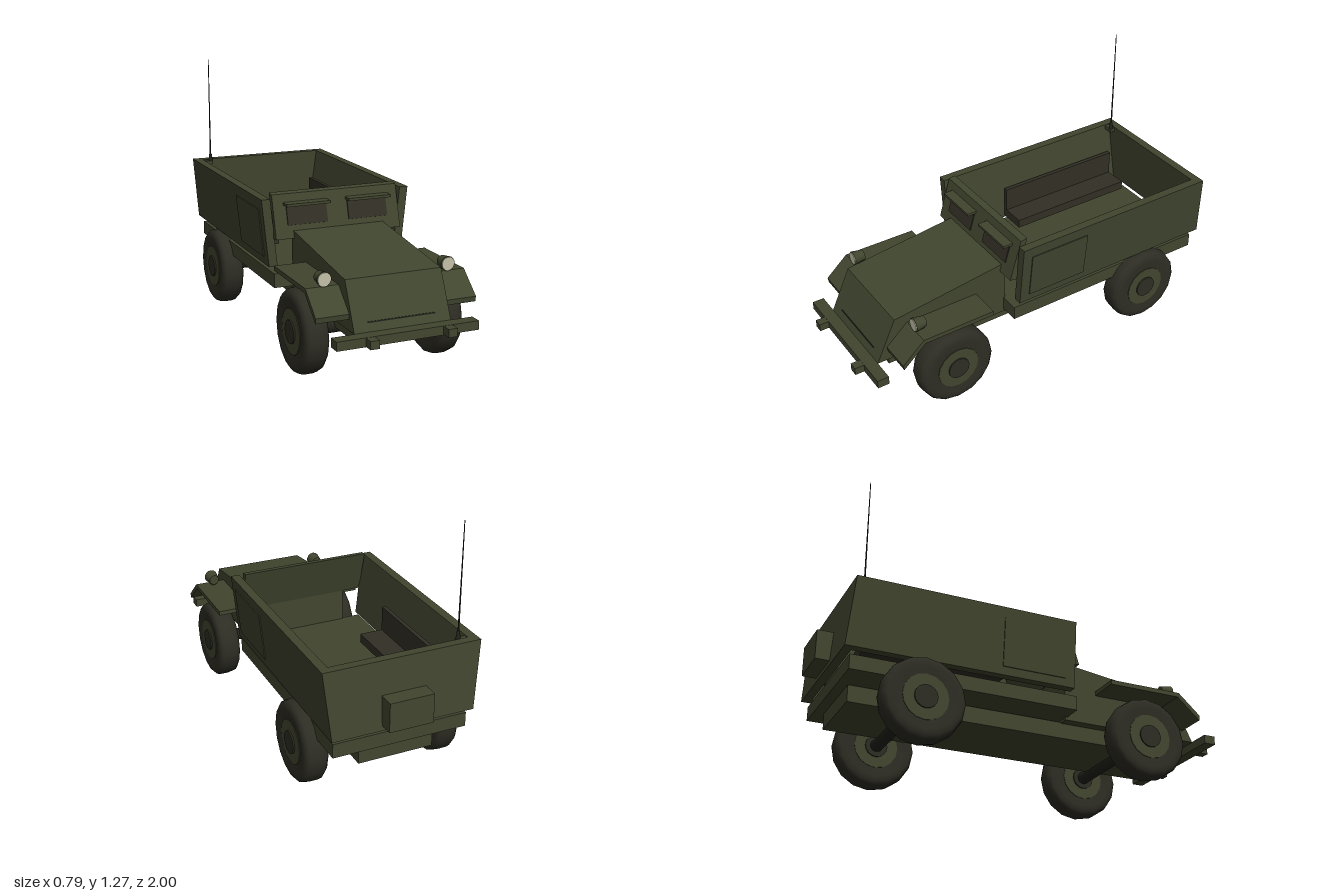
import * as THREE from 'three';

const mat = (name, color) => {
  const m = new THREE.MeshStandardMaterial({ color });
  m.name = name;
  return m;
};

export function createModel() {
  const green = mat('olive green', 0x41462f);
  const rubber = mat('tyre rubber', 0x2e2d24);
  const brown = mat('dark brown', 0x322f25);
  const dark = mat('dark metal', 0x22231b);
  const lens = mat('lamp glass', 0xc4c1a8);
  const model = new THREE.Group();
  model.name = 'armouredCar';

  const add = (name, geometry, material, parent = model) => {
    const mesh = new THREE.Mesh(geometry, material);
    mesh.name = name;
    parent.add(mesh);
    return mesh;
  };
  // Box given by its lower and upper limits on each axis
  const box = (name, material, [x0, x1], [y0, y1], [z0, z1], parent) =>
    add(name, new THREE.BoxGeometry(x1 - x0, y1 - y0, z1 - z0)
      .translate((x0 + x1) / 2, (y0 + y1) / 2, (z0 + z1) / 2), material, parent);
  // Mirrored x range for the two sides
  const span = (s, a, b) => (s > 0 ? [a, b] : [-b, -a]);
  const shape = (pts) => new THREE.Shape(pts.map(([a, b]) => new THREE.Vector2(a, b)));
  // Side profile of (z, y) points extruded across x
  const across = (name, material, pts, [x0, x1]) =>
    add(name, new THREE.ExtrudeGeometry(shape(pts), { depth: x1 - x0, bevelEnabled: false })
      .rotateY(-Math.PI / 2).translate(x1, 0, 0), material);
  // Front profile of (x, y) points extruded along z
  const along = (name, material, pts, [z0, z1]) =>
    add(name, new THREE.ExtrudeGeometry(shape(pts), { depth: z1 - z0, bevelEnabled: false })
      .translate(0, 0, z0), material);

  // Chassis, floor and bumper
  box('chassis', green, [-0.185, 0.185], [0.2, 0.28], [-0.863, 0.815]);
  box('floor', green, [-0.33, 0.33], [0.29, 0.36], [-0.905, 0.2]);
  box('bumper', green, [-0.342, 0.342], [0.235, 0.277], [0.895, 0.953]);

  // Engine hood with sloping top and nose
  across('hood', green,
    [[0.19, 0.275], [0.895, 0.275], [0.795, 0.49], [0.19, 0.567]], [-0.234, 0.234]);
  across('noseSlit', dark,
    [[0.876, 0.312], [0.8805, 0.312], [0.8785, 0.317], [0.874, 0.317]], [-0.165, 0.165]);

  // Windscreen plate leaning backwards
  across('windscreenPlate', green,
    [[0.185, 0.525], [0.22, 0.53], [0.16, 0.735], [0.125, 0.74]], [-0.325, 0.325]);

  // Rear wall: narrower and further back at the bottom
  const rear = new THREE.BoxGeometry(2, 0.33, 0.042).translate(0, 0.555, 0);
  const p = rear.attributes.position;
  for (let i = 0; i < p.count; i++) {
    const top = p.getY(i) > 0.5;
    p.setX(i, p.getX(i) * (top ? 0.383 : 0.348));
    p.setZ(i, p.getZ(i) - (top ? 0.888 : 0.914));
  }
  rear.computeVertexNormals();
  add('rearWall', rear, green);
  box('rearStowageBox', green, [-0.108, 0.108], [0.415, 0.558], [-1, -0.9]);

  for (const s of [1, -1]) {
    const side = s > 0 ? 'left' : 'right';
    const mir = (pts) => pts.map(([x, y]) => [s * x, y]);

    // Outward leaning side wall and its door
    along(side + 'Wall', green,
      mir([[0.305, 0.39], [0.348, 0.39], [0.383, 0.72], [0.34, 0.72]]), [-0.9, 0.18]);
    along(side + 'Door', green,
      mir([[0.35, 0.43], [0.357, 0.43], [0.382, 0.665], [0.375, 0.665]]), [-0.19, 0.13]);

    // Bench with backrest
    box(side + 'BenchSeat', brown, span(s, 0.166, 0.284), [0.4, 0.445], [-0.84, -0.16]);
    box(side + 'BenchBack', brown, span(s, 0.284, 0.305), [0.4, 0.57], [-0.84, -0.16]);

    // Front vision window and visor
    across(side + 'Window', brown,
      [[0.202, 0.59], [0.208, 0.592], [0.18, 0.688], [0.174, 0.686]], span(s, 0.055, 0.26));
    box(side + 'Visor', green, span(s, 0.048, 0.272), [0.684, 0.697], [0.155, 0.222]);

    // Bent front fender
    across(side + 'Fender', green,
      [[0.355, 0.428], [0.722, 0.428], [0.838, 0.325], [0.842, 0.35], [0.73, 0.45], [0.355, 0.45]],
      span(s, 0.225, 0.39));

    // Tow hook block
    box(side + 'TowHook', green, span(s, 0.165, 0.208), [0.238, 0.276], [0.95, 1]);

    // Headlamp
    const lamp = new THREE.Group();
    lamp.name = side + 'Headlamp';
    lamp.position.set(s * 0.304, 0.482, 0);
    add('lampHousing', new THREE.CylinderGeometry(0.035, 0.026, 0.056, 14)
      .rotateX(Math.PI / 2).translate(0, 0, 0.705), green, lamp);
    add('lampLens', new THREE.CylinderGeometry(0.031, 0.031, 0.006, 14)
      .rotateX(Math.PI / 2).translate(0, 0, 0.734), lens, lamp);
    box('lampStem', green, [-0.012, 0.012], [-0.04, -0.015], [0.685, 0.715], lamp);
    model.add(lamp);
  }

  // Wheels and axles
  const tyre = [[0.1, -0.052], [0.15, -0.058], [0.178, -0.055], [0.192, -0.042], [0.197, -0.02],
    [0.197, 0.02], [0.192, 0.042], [0.178, 0.055], [0.15, 0.058], [0.1, 0.052]]
    .map(([r, y]) => new THREE.Vector2(r, y));
  const disc = (r, w) => new THREE.CylinderGeometry(r, r, w, 16).rotateZ(-Math.PI / 2);
  for (const [end, z] of [['front', 0.553], ['rear', -0.571]]) {
    add(end + 'Axle', disc(0.031, 0.6), dark).position.set(0, 0.197, z);
    for (const s of [1, -1]) {
      const wheel = new THREE.Group();
      wheel.name = end + (s > 0 ? 'Left' : 'Right') + 'Wheel';
      wheel.position.set(s * 0.333, 0.197, z);
      add('tyre', new THREE.LatheGeometry(tyre, 16).rotateZ(-Math.PI / 2), rubber, wheel);
      add('rim', disc(0.108, 0.112), green, wheel);
      add('hub', disc(0.055, 0.126), rubber, wheel);
      model.add(wheel);
    }
  }

  // Radio antenna on the right rear corner
  add('antennaBase', new THREE.CylinderGeometry(0.007, 0.012, 0.045, 10)
    .translate(-0.3, 0.73, -0.85), dark);
  add('antennaBracket', new THREE.BoxGeometry(0.05, 0.02, 0.04)
    .translate(-0.315, 0.705, -0.86), green);
  add('antennaRod', new THREE.CylinderGeometry(0.002, 0.004, 0.53, 8)
    .translate(-0.3, 1.005, -0.85), dark);

  return model;
}
